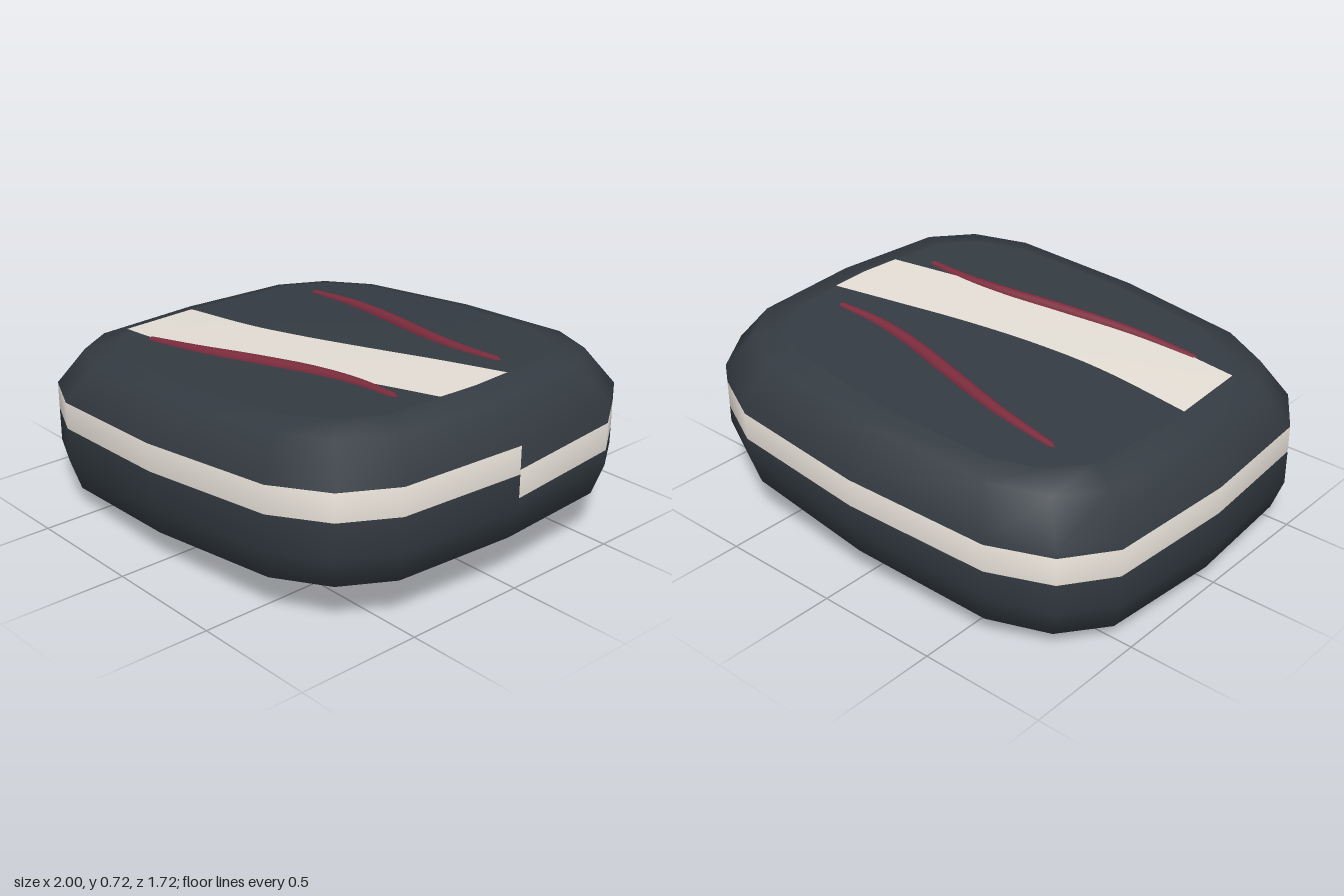
import * as THREE from 'three';

const SHEAR = 0.073; // the slab rises towards +x
const mat = (name, color) => {
  const m = new THREE.MeshStandardMaterial({ color });
  m.name = name;
  return m;
};

// Outline in plan: +x, round the front to -x, then round the back to +x
const quarter = [[1, 0], [0.96, 0.52], [0.83, 0.71], [0.6, 0.82]];
const front = [...quarter, [0, 0.86], ...quarter.map(([x, z]) => [-x, z]).reverse()];
const plan = [...front, ...front.slice(0, -1).reverse().map(([x, z]) => [x, -z])];
const N = plan.length - 1;

// The band runs level along the front and sinks along the back, leaving a step at +x
function bandDrop(i) {
  if (i <= N / 2) return 0;
  const a = Math.atan2(plan[i][1], plan[i][0]);
  return 0.092 * (1 + (i === N ? 0 : a) / Math.PI);
}

// Cross-section rings: scale, height, tilt of the surface normal in degrees
const rings = [
  [0.79, () => 0.06, -62], [0.96, () => 0.12, -42], [1, () => 0.24, -14],
  [1, (i) => 0.379 - bandDrop(i), 0], [1, (i) => 0.489 - bandDrop(i), 14],
  [1, () => 0.49, 18], [0.89, () => 0.632, 55], [0.78, () => 0.658, 75],
];

// Smooth side wall between two rings
function wall(from, to) {
  const pos = [], nor = [], idx = [], row = N + 1;
  for (let r = from; r <= to; r++) {
    const [s, h, tilt] = rings[r];
    const t = THREE.MathUtils.degToRad(tilt);
    for (let i = 0; i <= N; i++) {
      const [x, z] = plan[i], p = plan[(i + N - 1) % N], q = plan[(i + 1) % N];
      pos.push(x * s, h(i) + SHEAR * x * s, z * s);
      const out = new THREE.Vector2(q[1] - p[1], p[0] - q[0]).normalize();
      const n = new THREE.Vector3(out.x * Math.cos(t) - SHEAR * Math.sin(t), Math.sin(t), out.y * Math.cos(t)).normalize();
      nor.push(n.x, n.y, n.z);
      if (r < to && i < N) {
        const a = (r - from) * row + i;
        idx.push(a, a + row, a + 1, a + 1, a + row, a + row + 1);
      }
    }
  }
  const g = new THREE.BufferGeometry();
  g.setAttribute('position', new THREE.Float32BufferAttribute(pos, 3));
  g.setAttribute('normal', new THREE.Float32BufferAttribute(nor, 3));
  g.setIndex(idx);
  return g;
}

// Heights of the gently domed top and the flat underside
const topY = (x, z) => 0.658 + SHEAR * x + 0.012 * Math.max(0, 1 - (x / 0.78) ** 2 - (z / 0.67) ** 2);
const bottomY = (x) => 0.06 + SHEAR * x;

// Grid of points, facing up, or down if asked
function sheet(nu, nv, point, down) {
  const pos = [], idx = [];
  for (let u = 0; u <= nu; u++) for (let v = 0; v <= nv; v++) {
    pos.push(...point(u, v));
    if (u < nu && v < nv) {
      const a = u * (nv + 1) + v, b = a + nv + 1;
      if (down) idx.push(a, b, a + 1, a + 1, b, b + 1);
      else idx.push(a, a + 1, b, b, a + 1, b + 1);
    }
  }
  const g = new THREE.BufferGeometry();
  g.setAttribute('position', new THREE.Float32BufferAttribute(pos, 3));
  g.setIndex(idx);
  g.computeVertexNormals();
  return g;
}

function cap(scale, height, down) {
  return sheet(6, N, (u, v) => {
    const s = scale * Math.max(u / 6, 0.001), x = plan[v][0] * s, z = plan[v][1] * s;
    return [x, height(x, z), z];
  }, down);
}

// Swept stripe across the top and the underside
const stripeEdge = new THREE.SplineCurve([[-0.78, 0.08], [-0.4, 0.082], [-0.1, 0.045], [0.2, -0.02], [0.5, -0.1], [0.78, -0.172]]
  .map((p) => new THREE.Vector2(...p)));
function stripe(height, lift, down) {
  return sheet(24, 6, (u, v) => {
    const p = stripeEdge.getPoint(u / 24);
    const z = p.y + 0.338 * v / 6;
    const x = p.x * (0.995 - 0.075 * Math.abs(z)); // ends follow the rim
    return [x, height(x, z) + lift, z];
  }, down);
}

// Slim half-sunk rib with blunt ends
function rib(side) {
  const path = new THREE.CatmullRomCurve3([[-0.595, 0.43], [-0.3, 0.4], [0, 0.338], [0.25, 0.282], [0.45, 0.258], [0.66, 0.262]]
    .map(([x, z]) => new THREE.Vector3(x, topY(x, z) - 0.006, z * side)));
  const segs = 48, sides = 10;
  const g = new THREE.TubeGeometry(path, segs, 1, sides);
  const p = g.attributes.position, v = new THREE.Vector3();
  for (let i = 0; i <= segs; i++) {
    const t = i / segs, c = path.getPointAt(t);
    const r = i === 0 || i === segs ? 0.0001 : 0.015 + 0.014 * Math.sin(Math.PI * t);
    for (let j = 0; j <= sides; j++) {
      const k = i * (sides + 1) + j;
      v.fromBufferAttribute(p, k).sub(c).multiplyScalar(r).add(c);
      p.setXYZ(k, v.x, v.y, v.z);
    }
  }
  return g;
}

export function createModel() {
  const group = new THREE.Group();
  const slate = mat('slate', 0x343b42);
  const cream = mat('cream', 0xe4ded5);
  const red = mat('darkRed', 0x7c2c3d);
  const add = (name, geometry, material) => {
    const m = new THREE.Mesh(geometry, material);
    m.name = name;
    group.add(m);
  };
  // Body
  add('lowerWall', wall(0, 3), slate);
  add('sideBand', wall(3, 4), cream);
  add('upperWall', wall(4, 7), slate);
  add('topFace', cap(0.78, topY, false), slate);
  add('underside', cap(0.79, bottomY, true), slate);
  // Stripes
  add('topStripe', stripe(topY, 0.003, false), cream);
  add('bottomStripe', stripe(bottomY, -0.002, true), cream);
  // Ribs
  add('frontRib', rib(1), red);
  add('backRib', rib(-1), red);
  return group;
}
